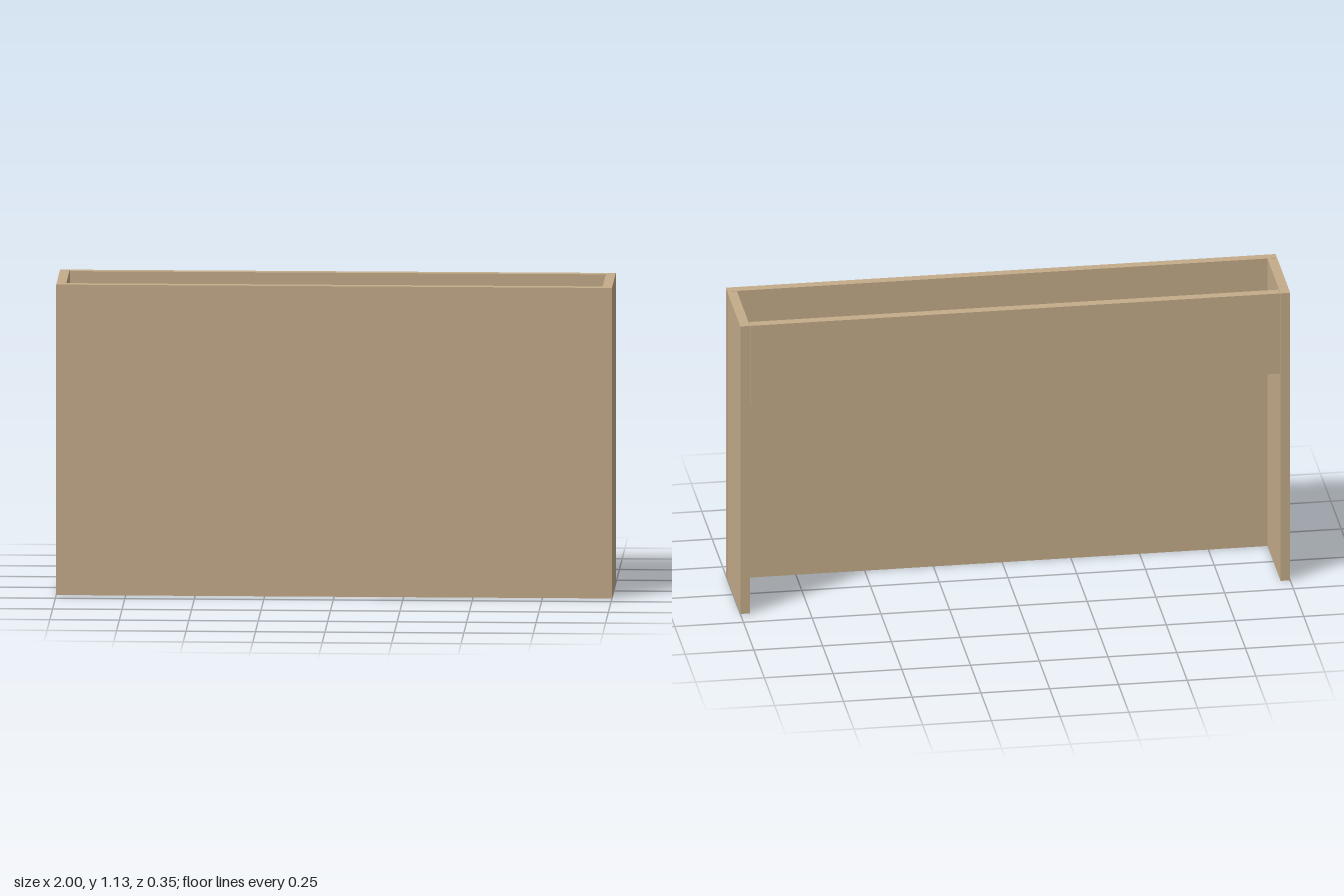
import * as THREE from 'three';

const W = 2, H = 1.13, D = 0.35; // overall size
const T = 0.035;                 // board thickness
const GAP = 0.002;               // hairline joint between boards

export function createModel() {
  const group = new THREE.Group();
  const wood = new THREE.MeshStandardMaterial({ color: 0xc4ac8a });
  wood.name = 'light wood';

  // Board given by its minimum and maximum on each axis
  function board(name, [x0, x1], [y0, y1], [z0, z1]) {
    const mesh = new THREE.Mesh(new THREE.BoxGeometry(x1 - x0, y1 - y0, z1 - z0), wood);
    mesh.position.set((x0 + x1) / 2, (y0 + y1) / 2, (z0 + z1) / 2);
    mesh.name = name;
    group.add(mesh);
  }

  const back = -D / 2, front = D / 2 - T; // front is the inner face of the front panel
  const inner = W / 2 - T - GAP;
  const shelfTop = 0.988, shelfBottom = shelfTop - T;

  // Full-width front panel
  board('frontPanel', [-W / 2, W / 2], [0, H], [front, D / 2]);

  // Side panels behind it
  board('leftSide', [W / 2 - T, W / 2], [0, H], [back, front - GAP]);
  board('rightSide', [-W / 2, -W / 2 + T], [0, H], [back, front - GAP]);

  // Shelf forming the tray floor, with a rail above and an apron below at the back
  board('shelf', [-inner, inner], [shelfBottom, shelfTop], [back, front - GAP]);
  board('backRail', [-inner, inner], [shelfTop, H], [back, back + T]);
  board('backApron', [-inner, inner], [0.815, shelfBottom], [back, back + T]);

  return group;
}
